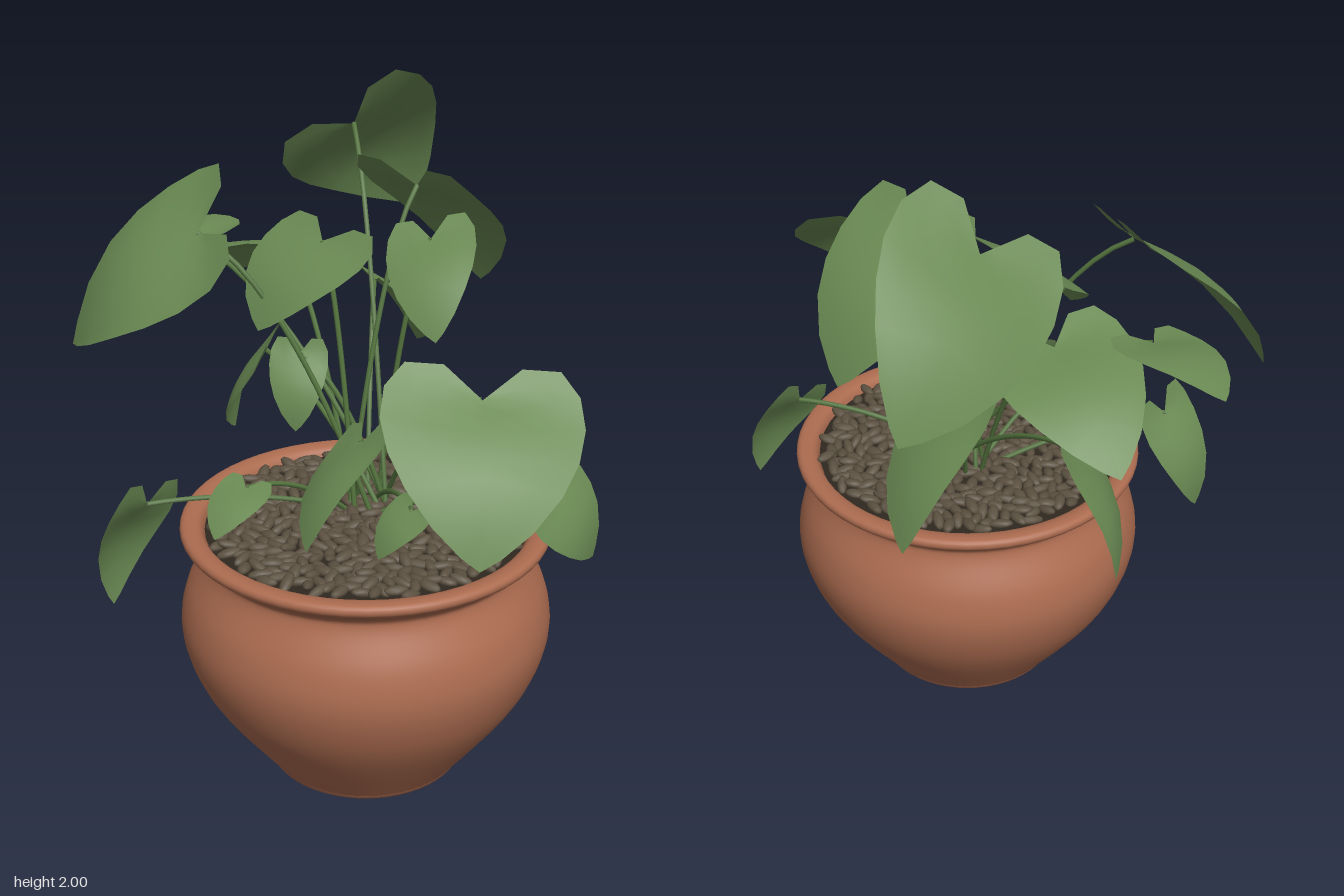
import * as THREE from 'three';
import { mergeGeometries, mergeVertices } from 'three/addons/utils/BufferGeometryUtils.js';

// Leaf joint, tip, half width and roll about the midrib
const LEAVES = {
  topBackLeaf: [[-0.2, 1.82, -0.35], [-0.17, 1.46, -0.77], 0.25, -0.79],
  upperBackLeaf: [[0.11, 1.72, -0.13], [0.2, 1.35, -0.43], 0.22, 0],
  upperLeftLeaf: [[0.2, 1.6, -0.03], [0.3, 1.36, 0.16], 0.13, 0.35],
  largeRightLeaf: [[-0.4, 1.62, 0.27], [-0.79, 1.25, 0.37], 0.29, -0.46],
  backRightLeaf: [[-0.33, 1.46, -0.14], [-0.64, 1.27, -0.4], 0.2, 0.15],
  outerRightLeaf: [[-0.58, 1.48, -0.03], [-0.83, 1.42, -0.14], 0.16, -0.25],
  middleLeaf: [[-0.1, 1.58, 0.07], [-0.2, 1.36, 0.29], 0.21, 0],
  lowerBackLeaf: [[-0.12, 1.33, -0.33], [-0.11, 1.02, -0.65], 0.16, 0.45],
  droopingRightLeaf: [[-0.4, 1.12, -0.12], [-0.58, 0.78, -0.22], 0.14, -0.7],
  lowRightLeaf: [[-0.44, 0.87, 0.55], [-0.56, 0.52, 0.58], 0.11, 0.6],
  largeLeftLeaf: [[0.57, 1.36, 0.48], [0.68, 1.01, 0.75], 0.26, -0.15],
  lowLeftLeaf: [[0.63, 0.91, 0.05], [0.73, 0.67, -0.06], 0.14, 1],
  frontLeaf: [[0.12, 1.06, 0.27], [0.08, 0.83, 0.55], 0.13, 0.5],
  innerLeaf: [[-0.14, 1.25, 0.15], [-0.12, 1.03, 0.22]],
  frontRightLeaf: [[-0.13, 0.97, 0.51], [-0.15, 0.87, 0.66]],
  frontLeftLeaf: [[0.34, 0.95, 0.4], [0.28, 0.83, 0.5]],
};

// Half a heart outline: [across, along] from the notch to the tip
const HEART = [
  [0.4, -0.2], [0.8, -0.2], [1, -0.05], [1.04, 0.15], [0.96, 0.36],
  [0.78, 0.57], [0.5, 0.78], [0.2, 0.93], [0, 1],
];

// Heart-shaped blade, rows fanning from midrib to outline, arched along its length
function leafGeometry(notch, tip, halfWidth, roll) {
  const along = tip.clone().sub(notch);
  const axis = along.clone().normalize();
  const side = new THREE.Vector3(0, 1, 0).cross(along).normalize().applyAxisAngle(axis, roll);
  const normal = axis.clone().cross(side);
  const half = 4, cols = half * 2 + 1;
  const positions = [], index = [];
  HEART.forEach(([across, edge], row) => {
    const rib = (row / (HEART.length - 1)) ** 1.5;
    for (let j = -half; j <= half; j++) {
      const t = across * j / half;
      const s = THREE.MathUtils.lerp(rib, edge, Math.abs(j) / half);
      const arch = along.length() * 0.13 * Math.sin(Math.PI * Math.max(s, 0)) * (1 - 0.4 * t * t);
      const p = notch.clone().addScaledVector(along, s)
        .addScaledVector(side, t * halfWidth).addScaledVector(normal, arch);
      positions.push(p.x, p.y, p.z);
      if (row && j < half) {
        const i = row * cols + j + half;
        index.push(i, i + 1, i - cols, i + 1, i - cols + 1, i - cols);
      }
    }
  });
  const g = new THREE.BufferGeometry();
  g.setAttribute('position', new THREE.Float32BufferAttribute(positions, 3));
  g.setIndex(index);
  g.computeVertexNormals();
  return g;
}

// Arching stalk from the middle of the pot to the leaf joint
function stemGeometry(end, i) {
  const angle = i * 2.4;
  const start = new THREE.Vector3(0.07 + 0.06 * Math.cos(angle), 0.77, 0.12 + 0.06 * Math.sin(angle));
  const bend = start.clone().lerp(end, 0.5);
  bend.y = THREE.MathUtils.lerp(start.y, end.y, 0.82) + 0.03;
  return new THREE.TubeGeometry(new THREE.QuadraticBezierCurve3(start, bend, end), 14, 0.008, 6);
}

// Overlapping elongated pebbles laid in a spiral
function pebbleGeometry() {
  let seed = 7;
  const rand = () => (seed = (seed * 16807) % 2147483647) / 2147483647;
  const base = new THREE.IcosahedronGeometry(1, 1);
  base.deleteAttribute('uv');
  base.deleteAttribute('normal');
  const unit = mergeVertices(base);
  unit.computeVertexNormals();
  const count = 420, parts = [];
  const m = new THREE.Matrix4(), q = new THREE.Quaternion();
  for (let i = 0; i < count; i++) {
    const r = 0.46 * Math.sqrt((i + 0.5) / count);
    const a = i * 2.4;
    q.setFromEuler(new THREE.Euler((rand() - 0.5) * 0.5, rand() * Math.PI, (rand() - 0.5) * 0.5));
    m.compose(
      new THREE.Vector3(r * Math.cos(a), 0.783 + rand() * 0.012, r * Math.sin(a)), q,
      new THREE.Vector3(0.032 + rand() * 0.01, 0.014, 0.015 + rand() * 0.005));
    parts.push(unit.clone().applyMatrix4(m));
  }
  return mergeGeometries(parts);
}

export function createModel() {
  const model = new THREE.Group();
  const material = (name, color, side = THREE.FrontSide) => {
    const m = new THREE.MeshStandardMaterial({ color, side });
    m.name = name;
    return m;
  };
  const terracotta = material('terracotta', 0xac6c50);
  const leafGreen = material('leaf green', 0x6a8a53, THREE.DoubleSide);
  const stemGreen = material('stem green', 0x55753f);
  const pebbleBrown = material('pebble brown', 0x5b5040);
  const soilBrown = material('soil brown', 0x2e281f);

  const add = (parent, name, geometry, mat) => {
    const mesh = new THREE.Mesh(geometry, mat);
    mesh.name = name;
    parent.add(mesh);
    return mesh;
  };

  // Pot with a rounded belly, narrow neck and flared lip
  const pot = new THREE.Group();
  pot.name = 'pot';
  pot.position.set(0.11, 0, 0.22);
  model.add(pot);
  const points = (list) => list.map(([x, y]) => new THREE.Vector2(x, y));
  const body = new THREE.SplineCurve(points([
    [0.305, 0.012], [0.46, 0.22], [0.53, 0.35], [0.558, 0.47], [0.54, 0.58],
    [0.487, 0.69], [0.492, 0.73], [0.548, 0.775], [0.54, 0.803], [0.49, 0.795], [0.47, 0.74],
  ])).getPoints(56);
  add(pot, 'potBody', new THREE.LatheGeometry(body, 56), terracotta);
  const foot = points([[0, 0.012], [0.27, 0.012], [0.285, 0], [0.3, 0], [0.306, 0.013]]);
  add(pot, 'potFoot', new THREE.LatheGeometry(foot, 56), terracotta);

  // Pot filling
  const soil = add(pot, 'soil', new THREE.CircleGeometry(0.478, 48), soilBrown);
  soil.rotation.x = -Math.PI / 2;
  soil.position.y = 0.776;
  add(pot, 'pebbles', pebbleGeometry(), pebbleBrown);

  // Leaves on their stalks; the small ones share one width and lie level
  Object.entries(LEAVES).forEach(([name, [joint, end, halfWidth = 0.085, roll = 0]], i) => {
    const group = new THREE.Group();
    group.name = name;
    const notch = new THREE.Vector3(...joint);
    add(group, 'blade', leafGeometry(notch, new THREE.Vector3(...end), halfWidth, roll), leafGreen);
    add(group, 'stem', stemGeometry(notch, i), stemGreen);
    model.add(group);
  });
  return model;
}
